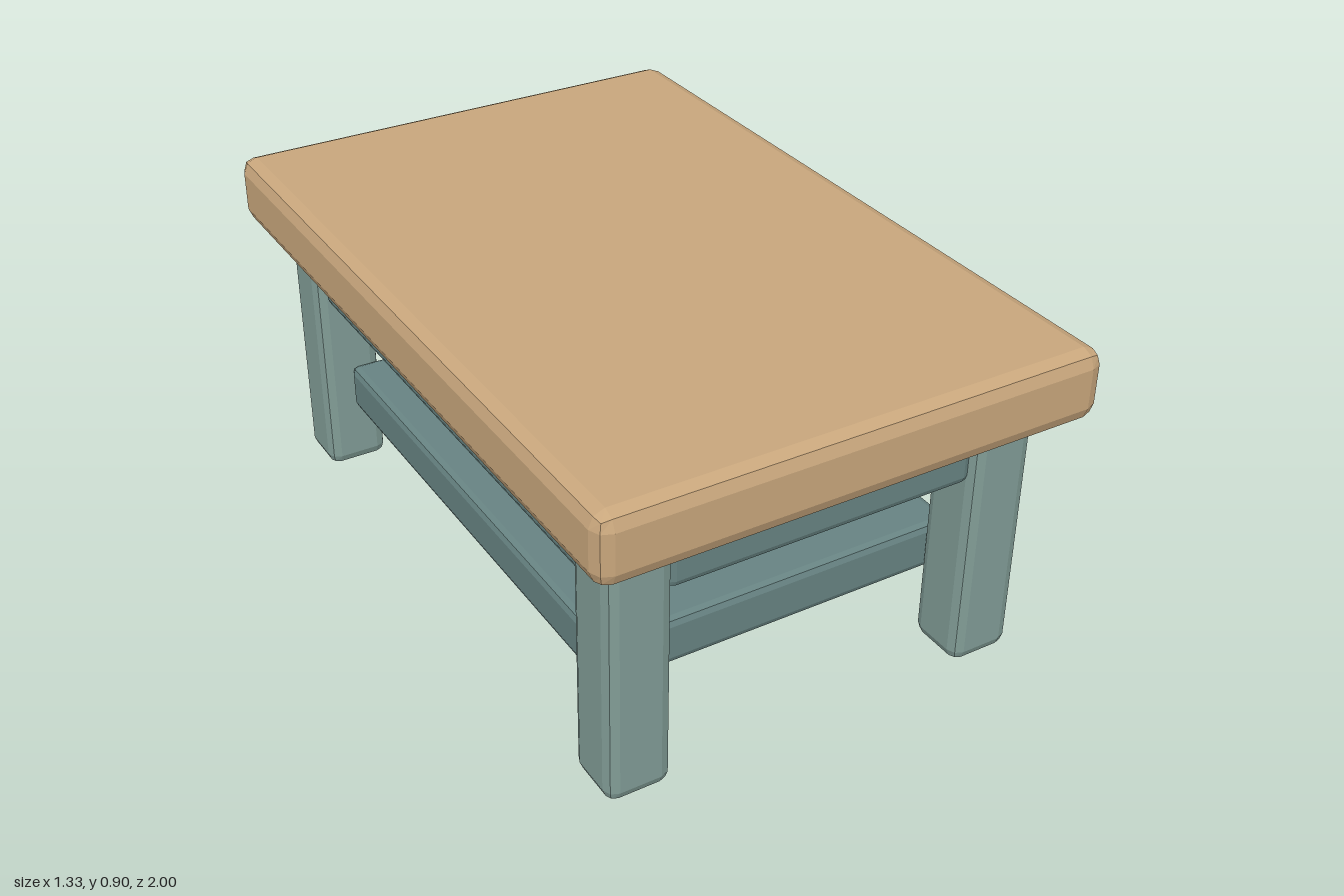
import * as THREE from 'three';
import { RoundedBoxGeometry } from 'three/addons/geometries/RoundedBoxGeometry.js';

export function createModel() {
  const table = new THREE.Group();
  table.name = 'table';

  const material = (color) => new THREE.MeshStandardMaterial({ color, flatShading: true });
  const wood = material(0xc8a67c);
  const legPaint = material(0x819c96);
  const railPaint = material(0x678382);

  // Box with a two-step bevel, placed by its centre
  function block(name, mat, size, position, bevel) {
    const mesh = new THREE.Mesh(new RoundedBoxGeometry(...size, 1, bevel), mat);
    mesh.name = name;
    mesh.position.set(...position);
    table.add(mesh);
  }

  // Table top
  block('tableTop', wood, [1.33, 0.185, 2], [0, 0.803, 0], 0.04);

  // Four legs, reaching just into the top
  for (const [side, x] of [['Left', 0.495], ['Right', -0.495]]) {
    for (const [end, z] of [['front', 0.802], ['back', -0.802]]) {
      block(`${end}${side}Leg`, legPaint, [0.17, 0.75, 0.166], [x, 0.375, z], 0.03);
    }
  }

  // Aprons under the top, set slightly in from the outer leg faces
  for (const [name, s] of [['front', 1], ['back', -1]]) {
    block(`${name}Apron`, railPaint, [0.83, 0.185, 0.1], [0, 0.632, s * 0.815], 0.02);
  }
  for (const [name, s] of [['left', 1], ['right', -1]]) {
    block(`${name}Apron`, railPaint, [0.1, 0.185, 1.44], [s * 0.505, 0.632, 0], 0.02);
  }

  // Lower shelf held between the leg pairs
  block('shelf', railPaint, [1, 0.13, 1.44], [0, 0.255, 0], 0.02);

  return table;
}
